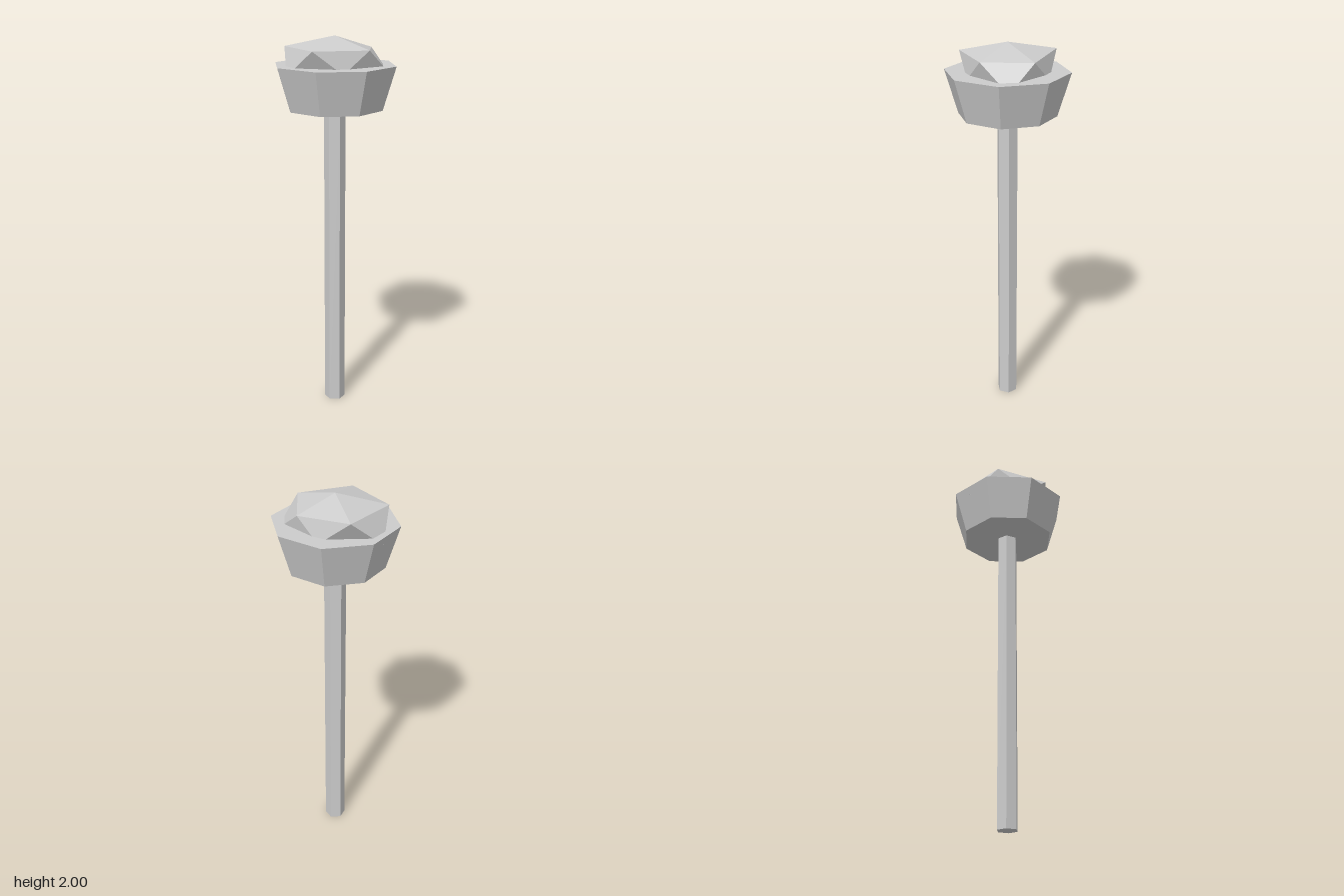
import * as THREE from 'three';

export function createModel() {
  const group = new THREE.Group();
  group.name = 'staff';
  const grey = new THREE.MeshStandardMaterial({ color: 0xcccccc, flatShading: true });
  grey.name = 'light grey';

  const add = (geometry, name, y = 0) => {
    const mesh = new THREE.Mesh(geometry, grey);
    mesh.name = name;
    mesh.position.y = y;
    group.add(mesh);
  };

  // Six-sided shaft and flared eight-sided head
  add(new THREE.CylinderGeometry(0.055, 0.055, 1.636, 6), 'shaft', 0.818);
  add(new THREE.CylinderGeometry(0.317, 0.25, 0.222, 8), 'head', 1.747);

  // Irregular squashed gem: apex, two staggered rings of five, hidden base point
  const apex = [0, 2, 0];
  const base = [0, 1.75, 0];
  const upper = [
    [0.212, 1.934, 0], [0.072, 1.943, 0.22], [-0.202, 1.945, 0.146],
    [-0.206, 1.945, -0.15], [0.08, 1.95, -0.247],
  ];
  const lower = [
    [0.225, 1.812, 0.165], [-0.062, 1.832, 0.2], [-0.267, 1.815, -0.002],
    [-0.089, 1.814, -0.27], [0.176, 1.829, -0.121],
  ];
  const points = [];
  for (let i = 0; i < 5; i++) {
    const j = (i + 1) % 5;
    points.push(
      ...apex, ...upper[j], ...upper[i],
      ...upper[i], ...upper[j], ...lower[i],
      ...lower[i], ...upper[j], ...lower[j],
      ...lower[i], ...lower[j], ...base,
    );
  }
  const gem = new THREE.BufferGeometry();
  gem.setAttribute('position', new THREE.Float32BufferAttribute(points, 3));
  gem.computeVertexNormals();
  add(gem, 'gem');

  return group;
}
